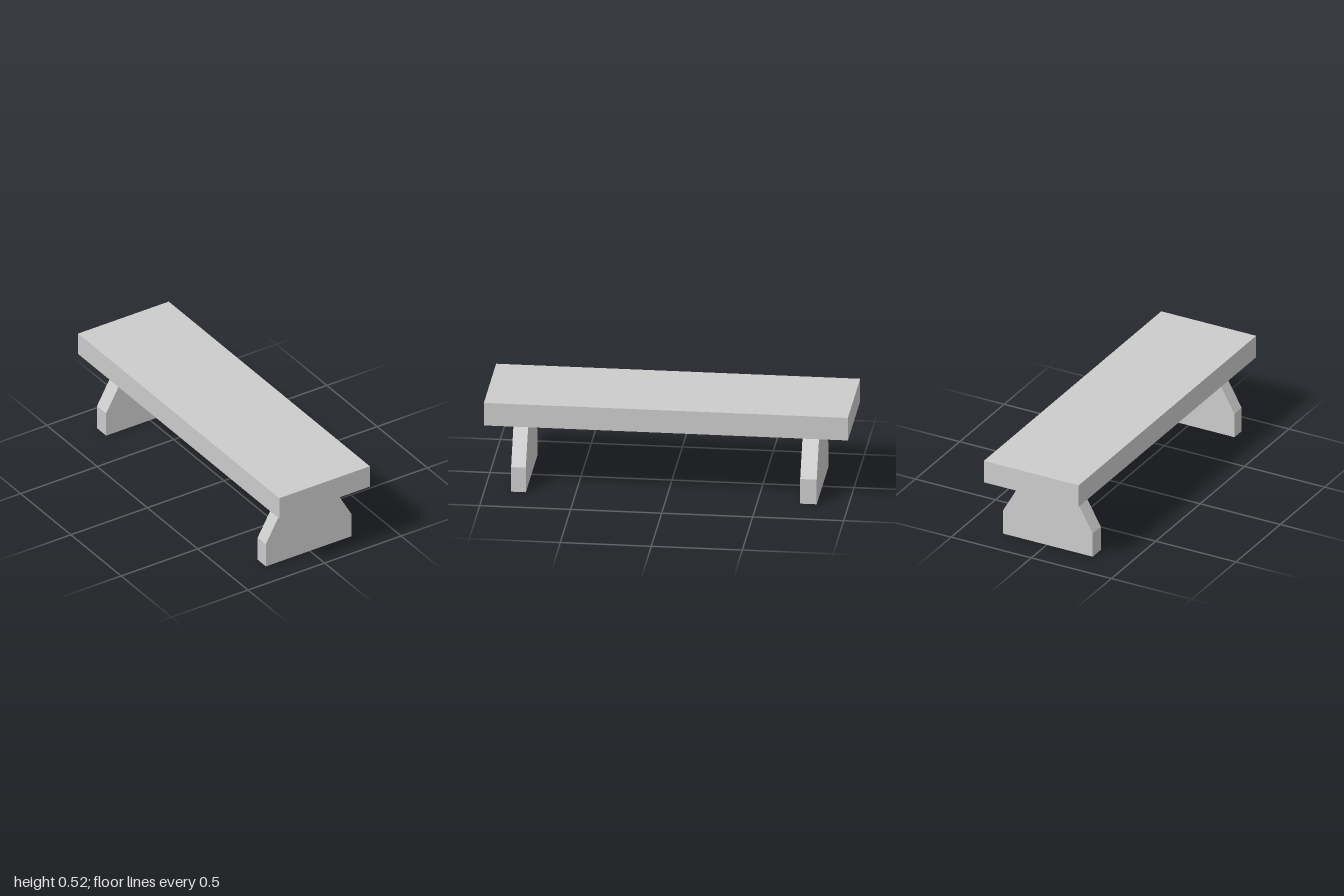
import * as THREE from 'three';

export function createModel() {
  const group = new THREE.Group();
  const material = new THREE.MeshStandardMaterial({ color: 0xcccccc, flatShading: true });

  // Seat slab
  const seatBottom = 0.391, seatTop = 0.523;
  const seat = new THREE.Mesh(new THREE.BoxGeometry(0.592, seatTop - seatBottom, 2), material);
  seat.name = 'seat';
  seat.position.y = (seatBottom + seatTop) / 2;
  group.add(seat);

  // Leg outline: upright foot tapering to a narrow top, slightly off centre
  const outline = new THREE.Shape([
    [-0.287, 0], [0.272, 0], [0.272, 0.144],
    [0.132, seatBottom], [-0.147, seatBottom], [-0.287, 0.144],
  ].map(([x, y]) => new THREE.Vector2(x, y)));

  // Two slab legs, the back one a little thicker
  const addLeg = (name, zBack, zFront) => {
    const geometry = new THREE.ExtrudeGeometry(outline, { depth: zFront - zBack, bevelEnabled: false });
    const leg = new THREE.Mesh(geometry, material);
    leg.name = name;
    leg.position.z = zBack;
    group.add(leg);
  };
  addLeg('frontLeg', 0.772, 0.853);
  addLeg('backLeg', -0.826, -0.735);

  return group;
}
